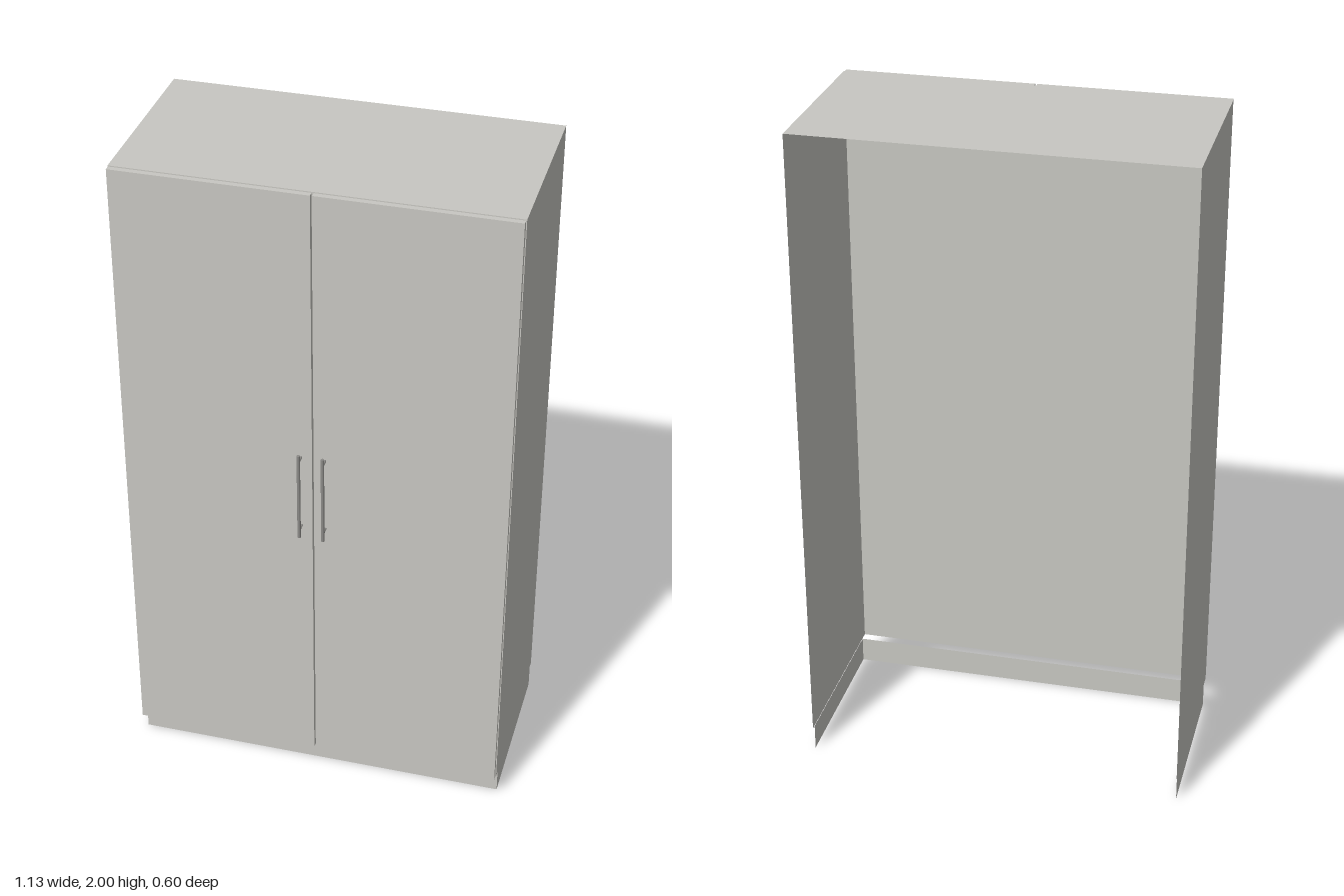
import * as THREE from 'three';

export function createModel() {
  const model = new THREE.Group();
  const panelMat = new THREE.MeshStandardMaterial({ color: 0xc8c7c2, side: THREE.DoubleSide });
  panelMat.name = 'warm grey panel';
  const handleMat = new THREE.MeshStandardMaterial({ color: 0x8c8b88 });
  handleMat.name = 'handle grey';

  const add = (parent, geo, mat, name, x, y, z) => {
    const mesh = new THREE.Mesh(geo, mat);
    mesh.name = name;
    mesh.position.set(x, y, z);
    parent.add(mesh);
    return mesh;
  };

  // Shell of thin sheets: front and two sides, open at the back and below
  const shell = (name, halfW, y0, y1, zBack, zFront) => {
    const group = new THREE.Group();
    group.name = name;
    const h = y1 - y0, d = zFront - zBack, yMid = (y0 + y1) / 2, zMid = (zFront + zBack) / 2;
    add(group, new THREE.PlaneGeometry(halfW * 2, h), panelMat, name + 'Front', 0, yMid, zFront);
    for (const s of [-1, 1]) {
      const side = add(group, new THREE.PlaneGeometry(d, h), panelMat,
        name + (s > 0 ? 'LeftSide' : 'RightSide'), s * halfW, yMid, zMid);
      side.rotation.y = s * Math.PI / 2;
    }
    model.add(group);
    return group;
  };

  // Carcass with its top panel, and the recessed plinth
  const carcass = shell('carcass', 0.565, 0.08, 2, -0.3, 0.249);
  const top = add(carcass, new THREE.PlaneGeometry(1.13, 0.549), panelMat, 'topPanel', 0, 2, -0.0255);
  top.rotation.x = -Math.PI / 2;
  shell('plinth', 0.564, 0, 0.08, -0.287, 0.221);

  // Doors, each with a bar handle on two posts
  for (const s of [-1, 1]) {
    const door = new THREE.Group();
    door.name = s > 0 ? 'leftDoor' : 'rightDoor';
    add(door, new THREE.BoxGeometry(0.56, 1.917, 0.016), panelMat, 'doorPanel', s * 0.283, 1.04, 0.26);
    add(door, new THREE.CylinderGeometry(0.005, 0.005, 0.284, 16), handleMat, 'handleBar', s * 0.035, 1.048, 0.296);
    for (const y of [0.93, 1.167]) {
      const post = add(door, new THREE.CylinderGeometry(0.0035, 0.0035, 0.029, 12), handleMat,
        'handlePost', s * 0.035, y, 0.2815);
      post.rotation.x = Math.PI / 2;
    }
    model.add(door);
  }
  return model;
}
